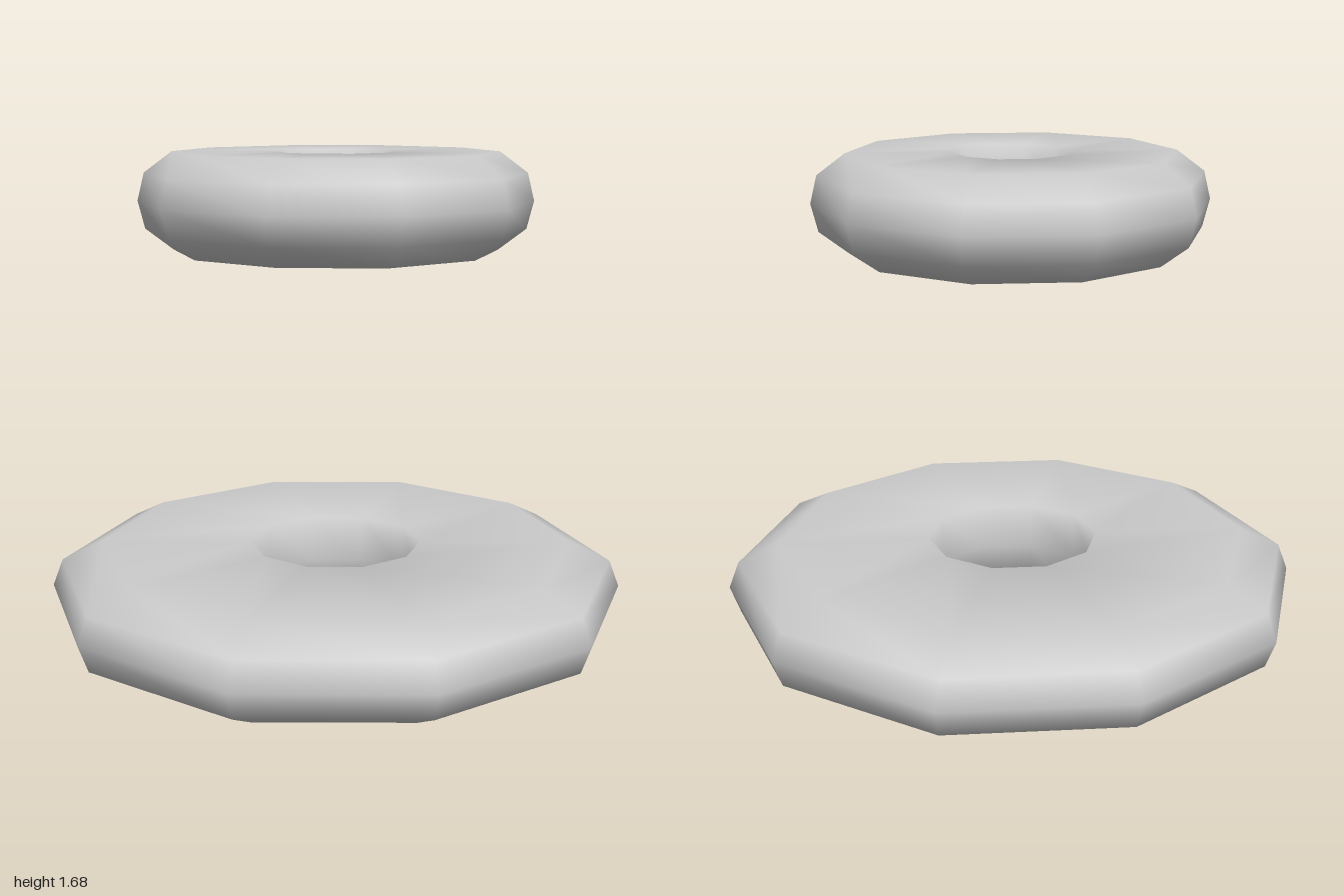
import * as THREE from 'three';

const SIDES = 10;
const HALF = 0.1635; // half the thickness of a ring

// Upper half of the ring's cross-section: [share of the radius, share of the half height]
const rim = [[1, 0], [0.965, 0.57], [0.823, 1], [0.298, 1]];

// Ten-sided ring with a rounded outer rim and a straight hole
function ring(name, radius, y, material) {
  const upper = rim.map(([r, h]) => new THREE.Vector2(r * radius, h * HALF));
  const lower = upper.slice(1).reverse().map((p) => new THREE.Vector2(p.x, -p.y));
  // the profile starts and ends halfway up the hole, so the seam stays smooth
  const seam = new THREE.Vector2(upper[3].x, 0);
  const profile = [seam, ...lower, ...upper, seam.clone()];
  const mesh = new THREE.Mesh(new THREE.LatheGeometry(profile, SIDES), material);
  mesh.name = name;
  mesh.position.y = y;
  return mesh;
}

export function createModel() {
  const group = new THREE.Group();
  group.name = 'ringPair';
  const material = new THREE.MeshStandardMaterial({ color: 0xcccccc });
  group.add(ring('lowerRing', 1, HALF, material));
  group.add(ring('upperRing', 0.664, 1.517, material));
  return group;
}
